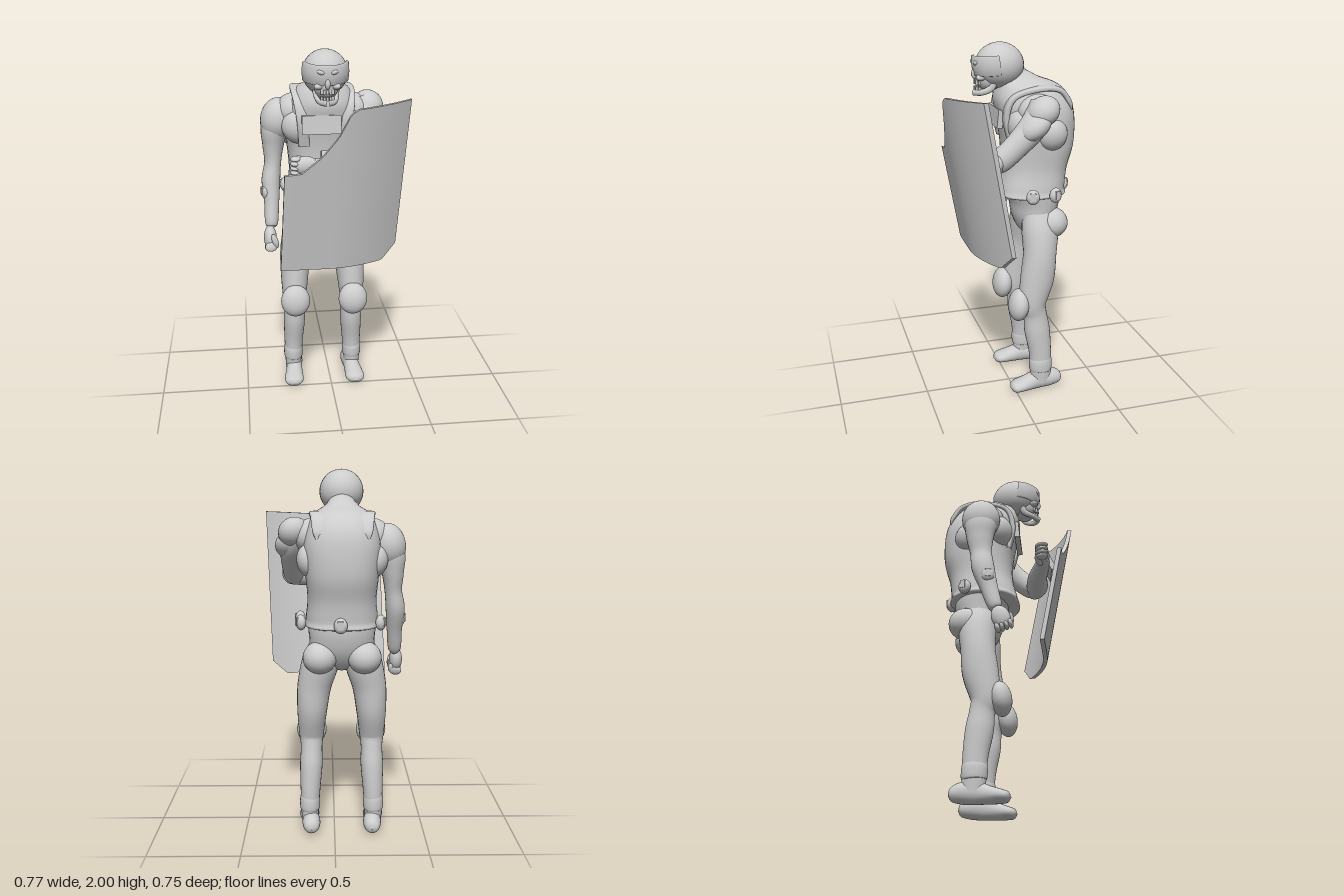
import * as THREE from 'three';

const CX = -0.04; // mid line of the body

export function createModel() {
  const model = new THREE.Group();
  const grey = new THREE.MeshStandardMaterial({ color: 0xcccccc });
  grey.name = 'light grey';

  const add = (name, geometry, parent = model) => {
    const mesh = new THREE.Mesh(geometry, grey);
    mesh.name = name;
    parent.add(mesh);
    return mesh;
  };

  const ellipsoid = (name, [x, y, z], [a, b, c], rot = [0, 0, 0], parent = model) => {
    const mesh = add(name, new THREE.SphereGeometry(1, 28, 18), parent);
    mesh.position.set(x, y, z);
    mesh.scale.set(a, b, c);
    mesh.rotation.set(...rot);
    return mesh;
  };

  const box = (name, [x, y, z], size, rot = [0, 0, 0], parent = model) => {
    const mesh = add(name, new THREE.BoxGeometry(...size), parent);
    mesh.position.set(x, y, z);
    mesh.rotation.set(...rot);
    return mesh;
  };

  // smooth body through sections [x, y, z, sideRadius, depthRadius]; level keeps the sections horizontal
  const loft = (name, sections, { ref = [1, 0, 0], power = 1, sides = 24, steps = 5, level = false } = {}) => {
    const path = new THREE.CatmullRomCurve3(sections.map(s => new THREE.Vector3(s[0], s[1], s[2])), false, 'catmullrom');
    const radii = new THREE.CatmullRomCurve3(sections.map(s => new THREE.Vector3(s[3], s[4], 0)), false, 'catmullrom');
    const n = (sections.length - 1) * steps, pos = [], index = [];
    const bend = v => Math.sign(v) * Math.abs(v) ** power;
    for (let i = 0; i <= n; i++) {
      const p = path.getPoint(i / n), r = radii.getPoint(i / n);
      const t = level ? new THREE.Vector3(0, 1, 0) : path.getTangent(i / n);
      const side = new THREE.Vector3(...ref).addScaledVector(t, -t.dot(new THREE.Vector3(...ref))).normalize();
      const other = t.clone().cross(side);
      for (let j = 0; j < sides; j++) {
        const a = j / sides * Math.PI * 2;
        const v = p.clone()
          .addScaledVector(side, bend(Math.cos(a)) * Math.max(r.x, 0.001))
          .addScaledVector(other, bend(Math.sin(a)) * Math.max(r.y, 0.001));
        pos.push(v.x, v.y, v.z);
        if (i < n) {
          const k = (j + 1) % sides, b = i * sides;
          index.push(b + j, b + k, b + sides + j, b + k, b + sides + k, b + sides + j);
        }
      }
    }
    const g = new THREE.BufferGeometry();
    g.setAttribute('position', new THREE.Float32BufferAttribute(pos, 3));
    g.setIndex(index);
    g.computeVertexNormals();
    return add(name, g);
  };

  // torso with armoured vest, hunched back and neck
  loft('vest', [
    [CX, 1.165, -0.13, 0, 0], [CX, 1.17, -0.13, 0.185, 0.18], [CX, 1.21, -0.13, 0.195, 0.188],
    [CX, 1.32, -0.15, 0.185, 0.182], [CX, 1.45, -0.168, 0.195, 0.198], [CX, 1.6, -0.157, 0.205, 0.21],
    [CX, 1.7, -0.135, 0.185, 0.207], [CX, 1.77, -0.112, 0.148, 0.168], [CX, 1.81, -0.07, 0.09, 0.11],
    [CX, 1.85, -0.04, 0.05, 0.06], [CX, 1.86, -0.04, 0, 0],
  ], { power: 0.82, sides: 36, level: true });
  loft('neck', [[CX, 1.7, -0.1, 0.1, 0.12], [CX, 1.8, -0.03, 0.08, 0.09], [CX, 1.88, 0.02, 0.07, 0.08]]);
  loft('pelvis', [
    [CX, 0.92, -0.14, 0, 0], [CX, 0.95, -0.14, 0.1, 0.07], [CX, 1.03, -0.15, 0.165, 0.118],
    [CX, 1.12, -0.155, 0.178, 0.14], [CX, 1.2, -0.14, 0.185, 0.16],
  ], { level: true });
  for (const s of [-1, 1]) {
    ellipsoid('backMuscle', [CX + s * 0.17, 1.525, -0.2], [0.07, 0.09, 0.085], [0, 0, -s * 0.2]);
    ellipsoid('shoulderMuscle', [CX + s * 0.16, 1.65, -0.12], [0.1, 0.095, 0.11], [0, 0, -s * 0.4]);
    ellipsoid('chestMuscle', [CX + s * 0.12, 1.58, -0.04], [0.11, 0.1, 0.08]);
    loft('vestStrap', [
      [CX + s * 0.115, 1.65, -0.32, 0.025, 0.006], [CX + s * 0.12, 1.69, -0.305, 0.035, 0.015],
      [CX + s * 0.125, 1.755, -0.25, 0.04, 0.015], [CX + s * 0.135, 1.768, -0.14, 0.04, 0.015],
      [CX + s * 0.132, 1.73, 0, 0.035, 0.015], [CX + s * 0.12, 1.62, 0.04, 0.03, 0.015],
      [CX + s * 0.11, 1.48, 0.015, 0.03, 0.012],
    ], { power: 0.6 });
  }
  box('chestPanel', [CX - 0.02, 1.605, 0.06], [0.21, 0.1, 0.03], [-0.1, 0, 0]);

  // belt pouches
  for (const [x, z] of [[0.185, -0.08], [0.18, -0.21], [-0.03, -0.325], [-0.245, -0.22], [-0.36, -0.08]]) {
    const pouch = new THREE.Group();
    pouch.name = 'pouch';
    pouch.position.set(x, 1.2, z);
    pouch.rotation.y = Math.atan2(x - CX, z + 0.14);
    ellipsoid('pouchBody', [0, 0, 0], [0.036, 0.042, 0.027], [0, 0, 0], pouch);
    box('pouchFlap', [0, 0.005, 0.018], [0.03, 0.045, 0.018], [0, 0, 0], pouch);
    model.add(pouch);
  }

  // legs, knee pads and boots
  for (const s of [-1, 1]) {
    const x = d => CX + s * d;
    loft('leg', [
      [x(0.09), 1.1, -0.15, 0.07, 0.085], [x(0.115), 0.98, -0.157, 0.1, 0.103], [x(0.15), 0.84, -0.147, 0.093, 0.094],
      [x(0.163), 0.7, -0.13, 0.083, 0.097], [x(0.168), 0.56, -0.102, 0.07, 0.08], [x(0.168), 0.48, -0.117, 0.06, 0.068],
      [x(0.17), 0.38, -0.13, 0.063, 0.074], [x(0.175), 0.25, -0.147, 0.056, 0.066], [x(0.178), 0.13, -0.152, 0.05, 0.062],
      [x(0.178), 0.05, -0.155, 0.045, 0.06],
    ]);
    ellipsoid('buttock', [x(0.12), 1.01, -0.22], [0.092, 0.088, 0.095]);
    ellipsoid('kneePad', [x(0.168), 0.55, -0.02], [0.084, 0.094, 0.058], [-0.12, 0, 0]);
    loft('boot', [
      [x(0.168), 0.05, -0.282, 0, 0], [x(0.169), 0.052, -0.265, 0.036, 0.035], [x(0.17), 0.06, -0.21, 0.05, 0.056],
      [x(0.174), 0.058, -0.14, 0.046, 0.058], [x(0.18), 0.045, -0.07, 0.052, 0.045], [x(0.184), 0.036, -0.01, 0.056, 0.034],
      [x(0.184), 0.032, 0.02, 0.04, 0.025], [x(0.184), 0.03, 0.034, 0, 0],
    ]);
    loft('trouserCuff', [
      [x(0.178), 0.12, -0.152, 0.045, 0.055], [x(0.178), 0.13, -0.152, 0.055, 0.066],
      [x(0.178), 0.18, -0.15, 0.056, 0.067], [x(0.177), 0.21, -0.148, 0.05, 0.06],
    ]);
  }

  // right arm hanging
  ellipsoid('rightShoulder', [-0.285, 1.6, -0.13], [0.095, 0.12, 0.107], [0, 0, -0.15]);
  loft('rightArm', [
    [-0.25, 1.66, -0.12, 0.05, 0.07], [-0.3, 1.56, -0.128, 0.075, 0.09], [-0.312, 1.46, -0.13, 0.06, 0.075],
    [-0.317, 1.36, -0.122, 0.047, 0.06], [-0.33, 1.26, -0.108, 0.052, 0.062], [-0.33, 1.14, -0.075, 0.042, 0.048],
    [-0.335, 1.02, -0.04, 0.034, 0.036], [-0.335, 1.01, -0.035, 0, 0],
  ]);

  // left arm bent behind the shield, with layered shoulder pads
  loft('leftUpperArm', [
    [0.17, 1.69, -0.13, 0.06, 0.07], [0.215, 1.6, -0.07, 0.075, 0.075], [0.23, 1.5, 0.03, 0.062, 0.066],
    [0.225, 1.42, 0.12, 0.056, 0.06], [0.22, 1.385, 0.16, 0.03, 0.03], [0.22, 1.38, 0.17, 0, 0],
  ]);
  loft('leftForearm', [
    [0.28, 1.42, 0.11, 0, 0], [0.262, 1.42, 0.125, 0.045, 0.05], [0.19, 1.415, 0.155, 0.064, 0.062],
    [0.08, 1.415, 0.165, 0.056, 0.056], [-0.06, 1.42, 0.2, 0.042, 0.042], [-0.14, 1.42, 0.21, 0.034, 0.036],
  ], { ref: [0, 0, 1] });
  ellipsoid('upperShoulderPad', [0.215, 1.67, -0.12], [0.085, 0.075, 0.092], [0.6, 0, -0.25]);
  ellipsoid('lowerShoulderPad', [0.235, 1.598, -0.065], [0.085, 0.064, 0.1], [0.6, 0, -0.1]);

  // fists, modelled with the wrist at the origin and knuckles below
  const fist = (name, position, rotation) => {
    const hand = new THREE.Group();
    hand.name = name;
    hand.position.set(...position);
    hand.rotation.set(...rotation);
    ellipsoid('palm', [0, -0.06, 0], [0.036, 0.07, 0.05], [0, 0, 0], hand);
    for (let i = 0; i < 4; i++) {
      ellipsoid('finger', [0.004, -0.11, -0.036 + i * 0.024], [0.036, 0.028, 0.0145], [0, 0, 0.3], hand);
      ellipsoid('fingerTip', [0.028, -0.095, -0.034 + i * 0.023], [0.016, 0.028, 0.013], [0, 0, 0], hand);
    }
    ellipsoid('thumb', [0.025, -0.08, 0.045], [0.017, 0.042, 0.017], [0.3, 0, 0.3], hand);
    model.add(hand);
  };
  fist('rightHand', [-0.345, 1.01, -0.028], [-0.32, 0, 0]);
  fist('leftHand', [-0.1, 1.425, 0.21], [Math.PI / 2, 0, -Math.PI / 2]);

  // helmet, goggles and bony face
  ellipsoid('helmet', [CX, 1.88, 0.042], [0.12, 0.12, 0.132]);
  const goggleProfile = [[0.11, -0.05], [0.121, -0.045], [0.125, 0], [0.121, 0.05], [0.108, 0.055]];
  const goggles = add('goggles', new THREE.LatheGeometry(
    goggleProfile.map(p => new THREE.Vector2(...p)), 32, -1.5, 3.0));
  goggles.position.set(CX, 1.89, 0.06);
  goggles.rotation.x = 0.1;
  goggles.scale.z = 1.05;
  ellipsoid('skullFace', [CX, 1.82, 0.1], [0.065, 0.075, 0.075]);
  ellipsoid('nose', [CX, 1.84, 0.18], [0.014, 0.028, 0.016]);
  for (const s of [-1, 1]) {
    ellipsoid('cheekBone', [CX + s * 0.045, 1.825, 0.155], [0.022, 0.018, 0.03], [0, s * 0.5, 0]);
    ellipsoid('browRidge', [CX + s * 0.035, 1.9, 0.178], [0.022, 0.013, 0.014], [0, s * 0.3, s * 0.3]);
    loft('jawSide', [
      [CX + s * 0.06, 1.83, 0.08, 0.012, 0.02], [CX + s * 0.055, 1.77, 0.1, 0.012, 0.018],
      [CX + s * 0.04, 1.745, 0.15, 0.012, 0.016], [CX, 1.74, 0.185, 0.013, 0.016],
    ], { ref: [0.7, 0, 0.3], sides: 12 });
  }
  for (let i = -2; i <= 2; i++) {
    const z = 0.175 - i * i * 0.004;
    box('upperTooth', [CX + i * 0.015, 1.797, z], [0.012, 0.024, 0.014]);
    box('lowerTooth', [CX + i * 0.015, 1.762, z], [0.012, 0.022, 0.014]);
  }

  // curved, leaning shield with a swept cut-out and a clipped lower corner
  const top = [[-0.3, 1.4], [-0.21, 1.41], [-0.11, 1.5], [-0.035, 1.6], [0.02, 1.72], [0.06, 1.745], [0.345, 1.765]];
  const bottom = [[-0.3, 0.84], [0.265, 0.845], [0.345, 0.93]];
  const sample = (line, x) => {
    let i = 1;
    while (i < line.length - 1 && x > line[i][0]) i++;
    const [a, b] = [line[i - 1], line[i]];
    return a[1] + (b[1] - a[1]) * (x - a[0]) / (b[0] - a[0]);
  };
  const shield = new THREE.BoxGeometry(1, 1, 1, 43, 12, 1);
  const p = shield.attributes.position;
  for (let i = 0; i < p.count; i++) {
    const x = -0.3 + (p.getX(i) + 0.5) * 0.645;
    const y = THREE.MathUtils.lerp(sample(bottom, x), sample(top, x), p.getY(i) + 0.5);
    const curve = (x < -0.05 ? 0.06 : 0.95) * (x + 0.05) ** 2;
    p.setXYZ(i, x + 0.043 * (y - 0.84), y, 0.206 - curve + 0.184 * (y - 0.84) + p.getZ(i) * 0.024);
  }
  shield.computeVertexNormals();
  add('shield', shield);
  box('shieldGrip', [-0.01, 1.44, 0.235], [0.14, 0.13, 0.03], [-0.4, 0.1, 0]);

  return model;
}
